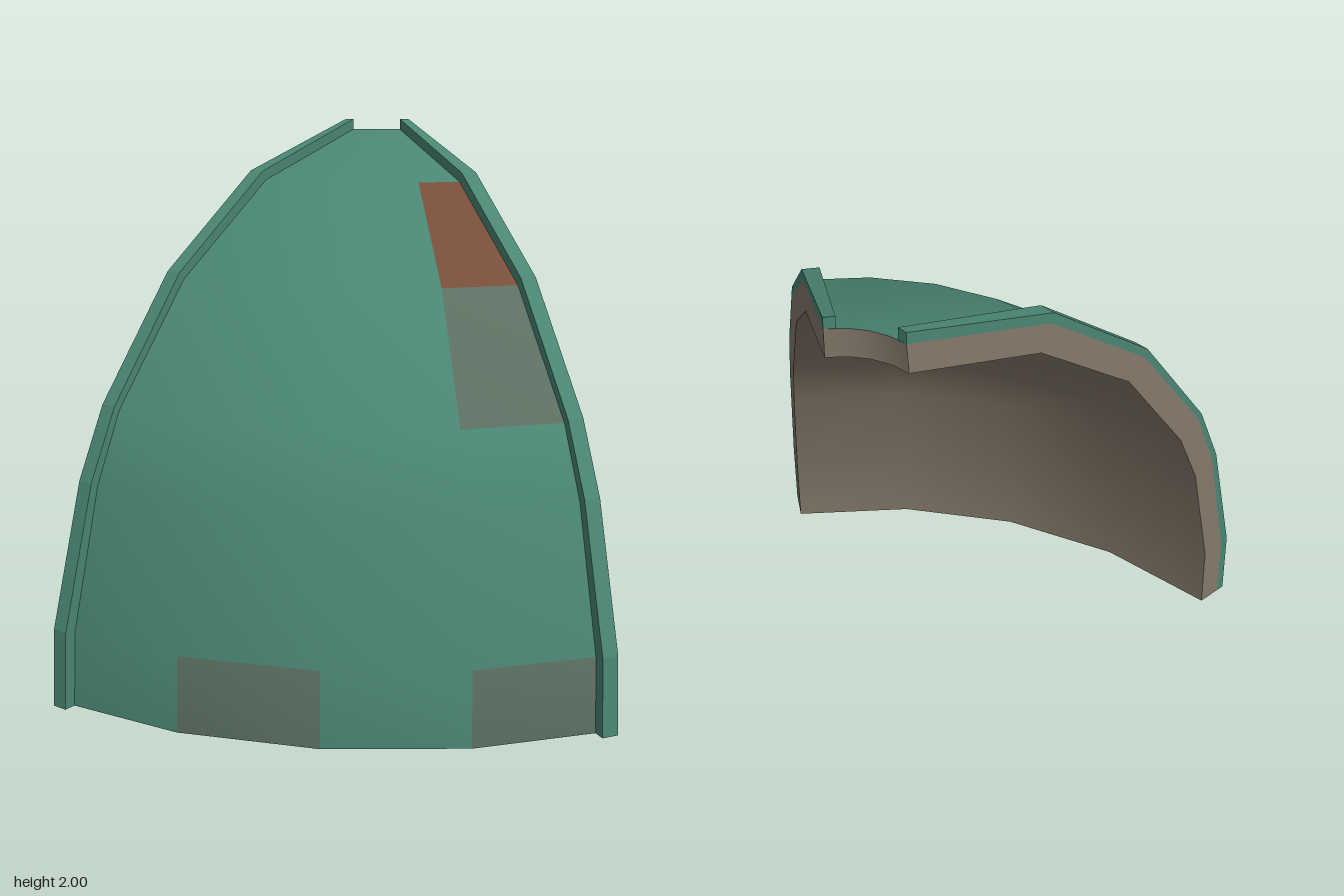
import * as THREE from 'three';

// Profiles as [radius from dome axis, height]
const OUTER = [[1.936, 0], [1.92, 0.27], [1.786, 0.775], [1.67, 1.025], [1.325, 1.452], [0.856, 1.785], [0.26, 1.96]];
const INNER = [[1.837, 0], [1.82, 0.27], [1.693, 0.74], [1.577, 0.97], [1.254, 1.38], [0.815, 1.69], [0.268, 1.855]];
const RIB = [[1.972, 0], [1.955, 0.28], [1.808, 0.79], [1.685, 1.042], [1.338, 1.48], [0.866, 1.82], [0.26, 2.0]];
const AXIS_Z = -1.086;
const HALF = Math.PI / 6;
const COLS = 4;

const material = (name, color) =>
  Object.assign(new THREE.MeshStandardMaterial({ color, side: THREE.DoubleSide }), { name });

// Point on the dome; inset moves it squarely inward from the cut plane
function point([r, y], angle, inset = 0) {
  const s = Math.sign(angle);
  return [
    r * Math.sin(angle) - s * inset * Math.cos(angle),
    y,
    AXIS_Z + r * Math.cos(angle) + inset * Math.abs(Math.sin(angle)),
  ];
}

// Surface through rows of points; pick(row, col) gives a material index
function surface(rows, { flat = false, flip = false, pick = null } = {}) {
  const n = rows[0].length;
  const index = [];
  let g = new THREE.BufferGeometry();
  for (let i = 0; i < rows.length - 1; i++) {
    for (let j = 0; j < n - 1; j++) {
      const a = i * n + j, b = a + 1, c = a + n, d = c + 1;
      if (pick) g.addGroup(index.length, 6, pick(i, j));
      index.push(...(flip ? [a, c, b, b, c, d] : [a, b, c, b, d, c]));
    }
  }
  g.setAttribute('position', new THREE.Float32BufferAttribute(rows.flat(2), 3));
  g.setIndex(index);
  if (flat) g = g.toNonIndexed();
  g.computeVertexNormals();
  return g;
}

const arc = (p) => Array.from({ length: COLS + 1 }, (_, j) => point(p, -HALF + (2 * HALF * j) / COLS));

export function createModel() {
  const group = new THREE.Group();
  const green = material('green', 0x4a8674);
  const faded = material('fadedPanel', 0x5b7062);
  const rust = material('rustPanel', 0x774e39);
  const taupe = material('taupe', 0x857a6b);

  const add = (name, geometry, mat, parent = group) => {
    const mesh = new THREE.Mesh(geometry, mat);
    mesh.name = name;
    parent.add(mesh);
  };

  // Outer skin, with whole facets painted as panels
  const pick = (i, j) => {
    if (i === 0 && (j === 1 || j === 3)) return 1;
    if (j === 3 && i === 3) return 1;
    return j === 3 && i === 4 ? 2 : 0;
  };
  add('outerShell', surface(OUTER.map(arc), { pick }), [green, faded, rust]);

  // Lining and the rim around the top opening
  add('innerLining', surface(INNER.map(arc), { flip: true }), taupe);
  add('topRim', surface([arc(OUTER[6]), arc(INNER[6])]), taupe);

  for (const side of [-1, 1]) {
    const angle = side * HALF;
    const flip = side < 0;
    const label = side > 0 ? 'left' : 'right';

    // Cut wall joining lining and outer skin
    const wall = OUTER.map((p, i) => [point(p, angle), point(INNER[i], angle)]);
    add(label + 'CutWall', surface(wall, { flat: true, flip }), taupe);

    // Raised rib along the cut edge, slimmer at its tip
    const rib = new THREE.Group();
    rib.name = label + 'Rib';
    const sections = RIB.map((p, i) => {
      const inset = i === 6 ? 0.038 : 0.06;
      const [r, y] = OUTER[i];
      const low = i < 4 ? [r - 0.02, y] : [r, y - 0.02];
      return [point(low, angle, inset), point(p, angle, inset), point(p, angle), point(OUTER[i], angle)];
    });
    add('ribFaces', surface(sections, { flat: true, flip }), green, rib);
    for (const [name, k] of [['ribFoot', 0], ['ribTip', 6]]) {
      const [a, b, c, d] = sections[k];
      add(name, surface([[a, b], [d, c]], { flat: true, flip: (k === 0) !== flip }), green, rib);
    }
    group.add(rib);
  }
  return group;
}
